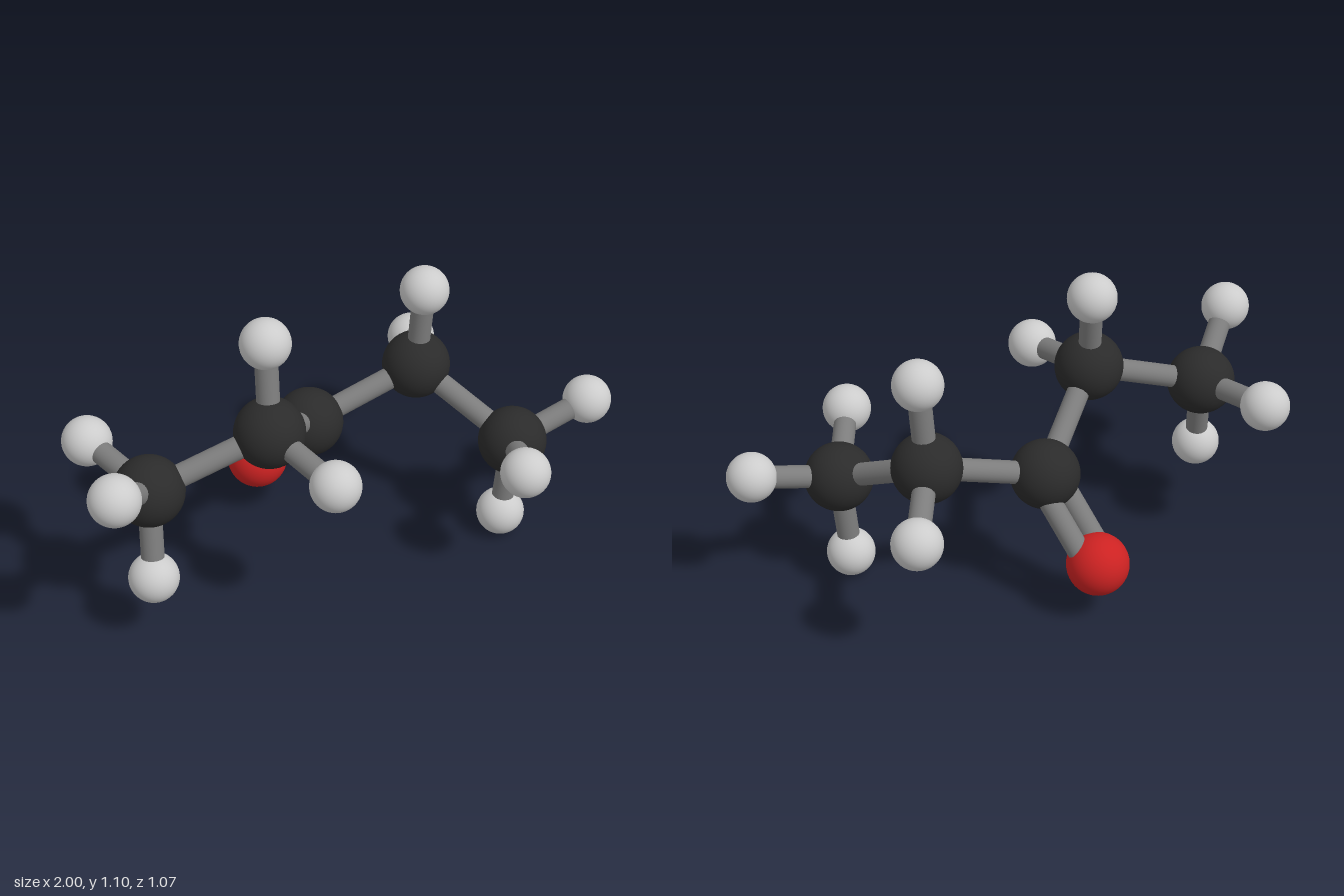
import * as THREE from 'three';

// Atom kinds: radius and colour
const KINDS = {
  carbon: { radius: 0.122, color: 0x2b2b2b },
  hydrogen: { radius: 0.087, color: 0xcccccc },
  oxygen: { radius: 0.11, color: 0xcc2222 },
};
const BOND_RADIUS = 0.04;
const DOUBLE_OFFSET = 0.045;

// Carbon chain, each with the positions of its hydrogens
const CHAIN = [
  { at: [-0.737, 0.58, 0.09], hydrogens: [[-0.915, 0.75, 0.29], [-0.848, 0.616, -0.207], [-0.766, 0.27, 0.165]] },
  { at: [-0.312, 0.706, 0.118], hydrogens: [[-0.29, 1.015, 0.047], [-0.207, 0.659, 0.416]] },
  { at: [-0.048, 0.478, -0.158], hydrogens: [] },
  { at: [0.376, 0.598, -0.164], hydrogens: [[0.395, 0.915, -0.152], [0.499, 0.505, -0.448]] },
  { at: [0.6, 0.41, 0.164], hydrogens: [[0.91, 0.485, 0.147], [0.49, 0.505, 0.448], [0.573, 0.089, 0.157]] },
];
const OXYGEN = [-0.168, 0.208, -0.363];

export function createModel() {
  const model = new THREE.Group();
  model.name = 'molecule';
  const bondMaterial = new THREE.MeshStandardMaterial({ color: 0x7c7c7c });
  const kinds = {};
  for (const [name, { radius, color }] of Object.entries(KINDS)) {
    kinds[name] = {
      geometry: new THREE.SphereGeometry(radius, 40, 28),
      material: new THREE.MeshStandardMaterial({ color }),
    };
  }

  function addAtom(kind, at, name) {
    const atom = new THREE.Mesh(kinds[kind].geometry, kinds[kind].material);
    atom.position.set(...at);
    atom.name = name;
    model.add(atom);
  }

  // Rod between two atom centres, optionally shifted sideways
  function addBond(from, to, name, shift = 0) {
    const a = new THREE.Vector3(...from);
    const b = new THREE.Vector3(...to);
    const up = new THREE.Vector3(0, 1, 0);
    const direction = b.clone().sub(a);
    const length = direction.length();
    direction.normalize();
    const bond = new THREE.Mesh(new THREE.CylinderGeometry(BOND_RADIUS, BOND_RADIUS, length, 24), bondMaterial);
    bond.position.copy(a).add(b).multiplyScalar(0.5);
    if (shift) bond.position.addScaledVector(direction.clone().cross(up).normalize(), shift);
    bond.quaternion.setFromUnitVectors(up, direction);
    bond.name = name;
    model.add(bond);
  }

  // Carbon backbone with its hydrogens
  CHAIN.forEach(({ at, hydrogens }, i) => {
    addAtom('carbon', at, `carbon${i + 1}`);
    if (i > 0) addBond(CHAIN[i - 1].at, at, `chainBond${i}`);
    hydrogens.forEach((h, j) => {
      addAtom('hydrogen', h, `hydrogen${i + 1}_${j + 1}`);
      addBond(at, h, `hydrogenBond${i + 1}_${j + 1}`);
    });
  });

  // Oxygen, held by a double bond on the middle carbon
  addAtom('oxygen', OXYGEN, 'oxygen');
  addBond(CHAIN[2].at, OXYGEN, 'doubleBondLeft', DOUBLE_OFFSET);
  addBond(CHAIN[2].at, OXYGEN, 'doubleBondRight', -DOUBLE_OFFSET);

  return model;
}
